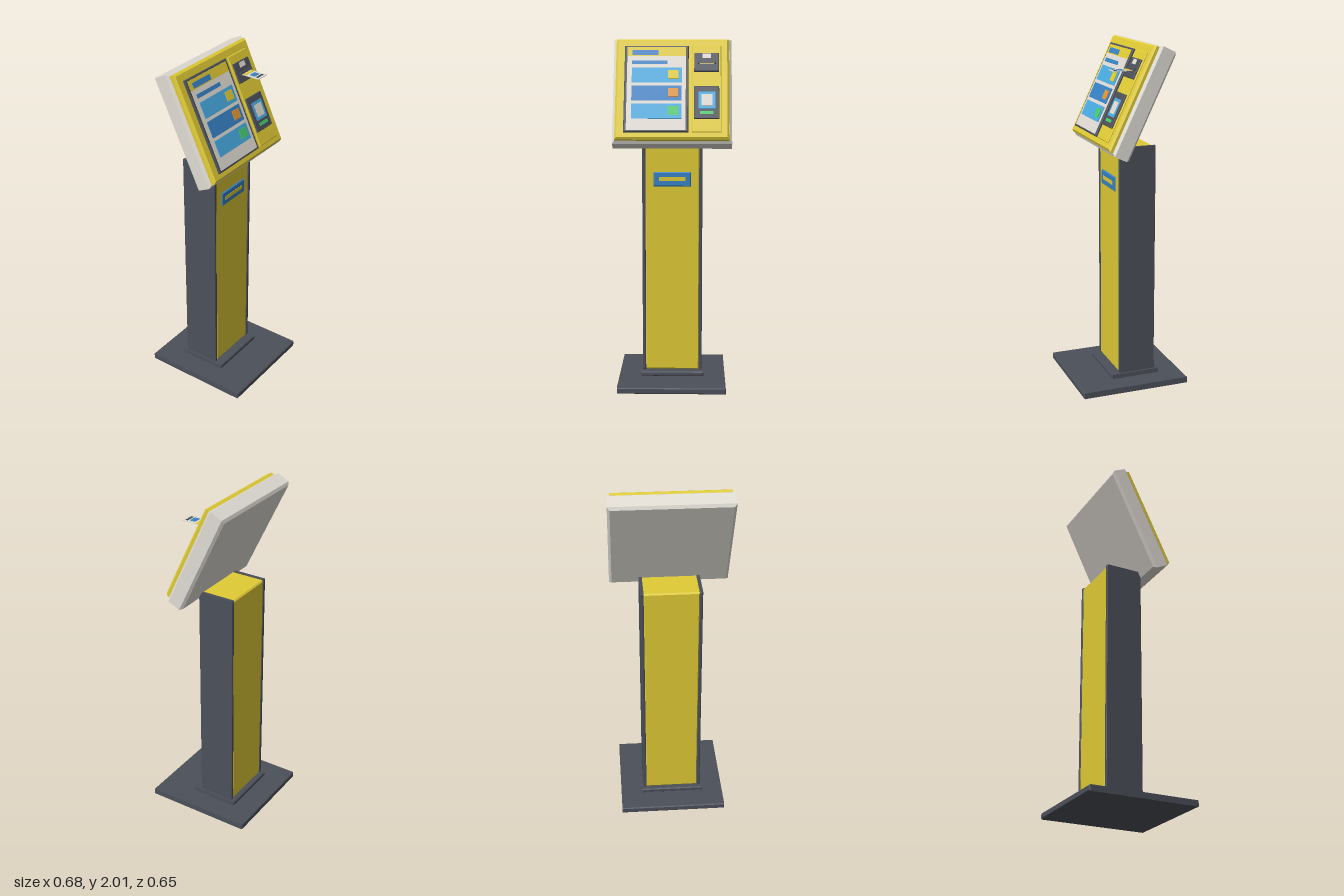
import * as THREE from 'three';

const mat = (name, color) => {
  const m = new THREE.MeshStandardMaterial({ color });
  m.name = name;
  return m;
};

export function createModel() {
  const yellow = mat('yellow', 0xe0cb35);
  const charcoal = mat('charcoal', 0x4c505a);
  const cream = mat('cream', 0xe0dcd4);
  const blue = mat('blue', 0x3682c6);
  const sky = mat('skyBlue', 0x47abe0);
  const orange = mat('orange', 0xe09538);
  const green = mat('green', 0x48cc6c);

  // Box given by its limits, with chamfered front and back edges
  function block(parent, name, material, [x0, x1], [y0, y1], [z0, z1], bevel = 0) {
    const w = x1 - x0, h = y1 - y0, d = z1 - z0;
    let geo;
    if (bevel > 0) {
      const a = w / 2 - bevel, b = h / 2 - bevel;
      const shape = new THREE.Shape([
        new THREE.Vector2(-a, -b), new THREE.Vector2(a, -b),
        new THREE.Vector2(a, b), new THREE.Vector2(-a, b),
      ]);
      geo = new THREE.ExtrudeGeometry(shape, {
        depth: d - 2 * bevel, bevelEnabled: true, bevelSegments: 1,
        bevelSize: bevel, bevelThickness: bevel,
      });
      geo.translate(0, 0, bevel - d / 2);
    } else {
      geo = new THREE.BoxGeometry(w, h, d);
    }
    const mesh = new THREE.Mesh(geo, material);
    mesh.name = name;
    mesh.position.set((x0 + x1) / 2, (y0 + y1) / 2, (z0 + z1) / 2);
    parent.add(mesh);
    return mesh;
  }

  const root = new THREE.Group();
  root.name = 'kiosk';

  // Foot and column
  const stand = new THREE.Group();
  stand.name = 'stand';
  root.add(stand);
  block(stand, 'basePlate', charcoal, [-0.312, 0.312], [0, 0.035], [-0.326, 0.326], 0.005);
  block(stand, 'plinth', charcoal, [-0.186, 0.186], [0.035, 0.062], [-0.187, 0.108], 0.005);
  block(stand, 'columnCore', yellow, [-0.16, 0.16], [0.062, 1.425], [-0.16, 0.056], 0.008);
  for (const s of [-1, 1]) {
    const x = s < 0 ? [-0.175, -0.156] : [0.156, 0.175];
    block(stand, s < 0 ? 'rightSidePanel' : 'leftSidePanel', charcoal, x, [0.062, 1.43], [-0.163, 0.059], 0.003);
  }
  block(stand, 'columnPlaque', blue, [-0.108, 0.108], [1.165, 1.248], [0.05, 0.065], 0.004);
  block(stand, 'plaqueStripe', yellow, [-0.078, 0.078], [1.196, 1.219], [0.063, 0.067]);

  // Tilted head; local z = 0 is the face of the yellow front plate
  const head = new THREE.Group();
  head.name = 'head';
  head.position.set(0, 1.73, 0.0447);
  head.rotation.x = -0.445;
  root.add(head);
  block(head, 'backHousing', cream, [-0.342, 0.342], [-0.325, 0.324], [-0.133, -0.028], 0.014);
  block(head, 'frontPlate', yellow, [-0.327, 0.327], [-0.311, 0.311], [-0.045, 0], 0.012);

  // Touch screen
  block(head, 'screenBezel', charcoal, [-0.276, 0.093], [-0.272, 0.261], [-0.004, 0.012], 0.004);
  block(head, 'screen', cream, [-0.261, 0.077], [-0.261, 0.194], [0.01, 0.014]);
  block(head, 'screenHeader', yellow, [-0.261, 0.077], [0.194, 0.25], [0.01, 0.014]);
  block(head, 'headerBar', blue, [-0.233, -0.082], [0.2, 0.231], [0.012, 0.016]);
  block(head, 'subtitleBar', blue, [-0.233, -0.028], [0.144, 0.166], [0.012, 0.016]);
  [[sky, yellow], [blue, orange], [sky, green]].forEach(([rowMat, keyMat], i) => {
    const y = 0.074 - i * 0.111;
    block(head, 'menuRow' + (i + 1), rowMat, [-0.233, 0.054], [y - 0.046, y + 0.046], [0.012, 0.018]);
    block(head, 'menuKey' + (i + 1), keyMat, [-0.025, 0.034], [y - 0.025, y + 0.028], [0.016, 0.022]);
  });

  // Service panel with printer and scanner
  block(head, 'servicePanel', yellow, [0.112, 0.281], [-0.272, 0.261], [-0.006, 0.008], 0.004);
  block(head, 'printer', charcoal, [0.125, 0.268], [0.098, 0.213], [0, 0.017], 0.003);
  block(head, 'printerLabel', cream, [0.172, 0.222], [0.178, 0.206], [0.015, 0.019]);
  block(head, 'printerLip', charcoal, [0.146, 0.249], [0.141, 0.155], [0.015, 0.027], 0.002);
  block(head, 'scanner', charcoal, [0.125, 0.268], [-0.193, 0.007], [0, 0.017], 0.003);
  block(head, 'scannerFrame', sky, [0.15, 0.246], [-0.134, -0.029], [0.015, 0.019]);
  block(head, 'scannerWindow', cream, [0.167, 0.23], [-0.117, -0.046], [0.017, 0.021]);
  block(head, 'scannerLight', green, [0.159, 0.235], [-0.167, -0.149], [0.015, 0.021]);

  // Level ticket coming out of the printer
  const ticket = new THREE.Group();
  ticket.name = 'ticket';
  root.add(ticket);
  block(ticket, 'ticketPaper', cream, [0.155, 0.238], [1.866, 1.869], [-0.005, 0.118]);
  block(ticket, 'ticketBand', yellow, [0.155, 0.238], [1.868, 1.8705], [0.012, 0.031]);
  block(ticket, 'ticketSquare', blue, [0.173, 0.22], [1.868, 1.8705], [0.046, 0.08]);
  block(ticket, 'ticketBar', charcoal, [0.168, 0.225], [1.868, 1.8705], [0.09, 0.104]);

  return root;
}
